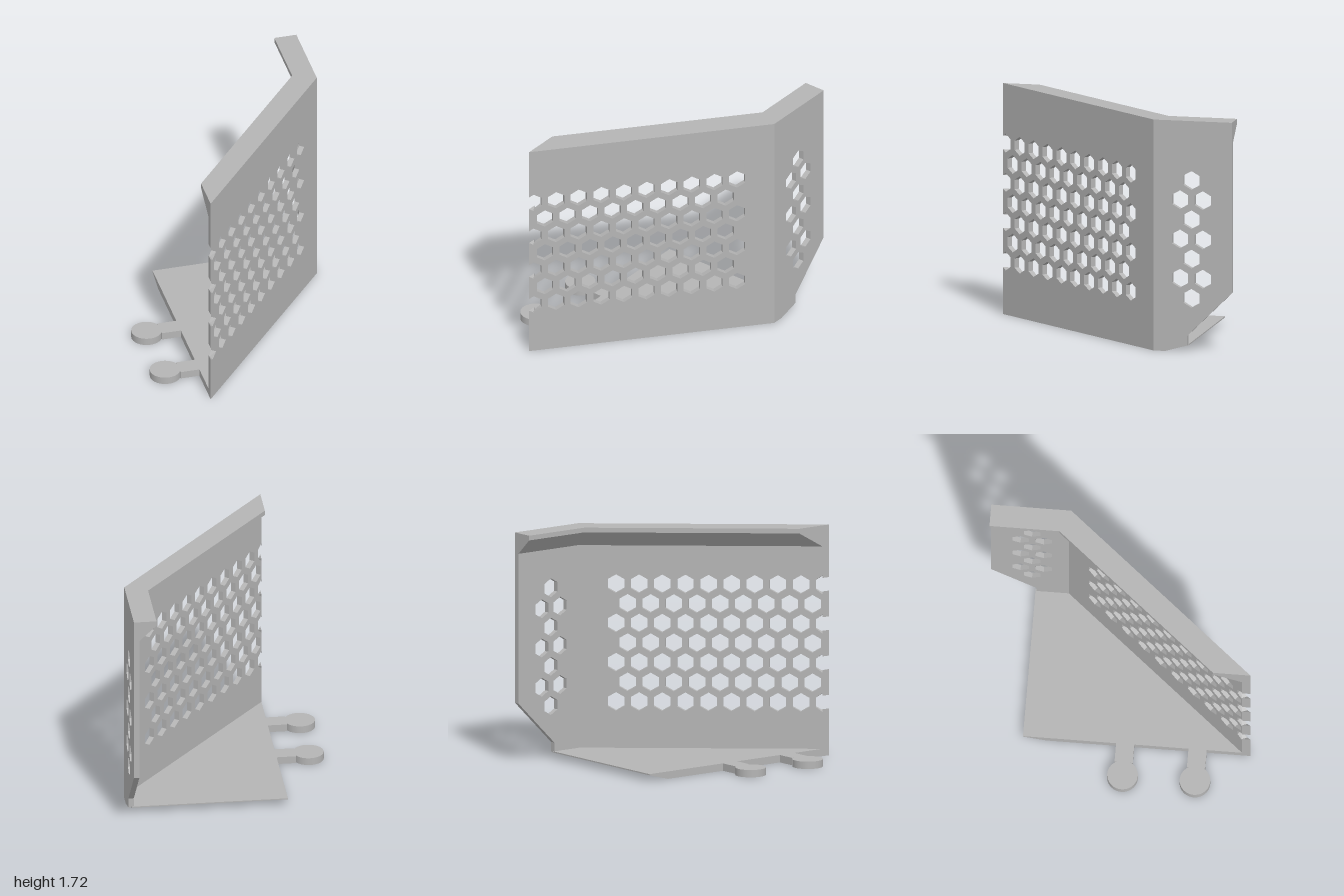
import * as THREE from 'three';

const H = 1.72, T = 0.04, FLOOR = 0.055, HEX = 0.07;
const A = new THREE.Vector3(-0.412, 0, 1);        // free end of the front wall
const C = new THREE.Vector3(0.764, 0, -0.412);    // corner between the two walls
const rowY = (i) => 0.4 + i * 0.1463;
const hexW = HEX * Math.cos(Math.PI / 6);

function polygon(points) {
  return new THREE.Shape(points.map(([x, y]) => new THREE.Vector2(x, y)));
}

// Pointy-top hexagonal hole
function hexHole(x, y) {
  const pts = [];
  for (let i = 0; i < 6; i++) {
    const a = Math.PI / 2 + i * Math.PI / 3;
    pts.push(new THREE.Vector2(x + HEX * Math.cos(a), y + HEX * Math.sin(a)));
  }
  return new THREE.Path(pts);
}

// Extrude a panel inward, trimming the inner face so that its ends are mitred
function panel(shape, depth, dir, origin, min = -Infinity, max = Infinity) {
  const geo = new THREE.ExtrudeGeometry(shape, { depth, bevelEnabled: false });
  const p = geo.attributes.position;
  for (let i = 0; i < p.count; i++) {
    if (p.getZ(i) > depth / 2) p.setX(i, Math.min(max, Math.max(min, p.getX(i))));
  }
  const up = new THREE.Vector3(0, 1, 0);
  const inward = dir.clone().cross(up);
  geo.applyMatrix4(new THREE.Matrix4().makeBasis(dir, up, inward).setPosition(origin));
  geo.computeVertexNormals();
  return geo;
}

function frontWall() {
  const len = A.distanceTo(C), dir = A.clone().sub(C).normalize();
  const first = 0.279, step = 0.1694, cut = first + 9 * step;
  const outline = [[0, 0], [len, 0]];
  // Half-open holes along the free edge
  for (let i = 0; i < 7; i += 2) {
    const y = rowY(i), e = HEX - (len - cut) * Math.tan(Math.PI / 6);
    outline.push([len, y - e], [cut, y - HEX], [cut - hexW, y - HEX / 2],
      [cut - hexW, y + HEX / 2], [cut, y + HEX], [len, y + e]);
  }
  outline.push([len, H], [0, H]);
  const shape = polygon(outline);
  for (let i = 0; i < 7; i++) {
    for (let k = 0; k < 9; k++) {
      shape.holes.push(hexHole(first + (k + (i % 2) / 2) * step, rowY(i)));
    }
  }
  return panel(shape, T, dir, C, 0.0144, len - T * 1.2);
}

function sideWall() {
  const shape = polygon([[C.z, 0], [C.z, H], [-1, H], [-1, 0.45], [-0.665, 0.12], [-0.665, 0.048], [-0.5, 0]]);
  for (let i = 0; i < 7; i++) {
    const zs = i % 2 ? [-0.611, -0.782] : [-0.697];
    zs.forEach((z) => shape.holes.push(hexHole(z, rowY(i))));
  }
  return panel(shape, T, new THREE.Vector3(0, 0, 1), new THREE.Vector3(C.x, 0, 0), -Infinity, -0.4265);
}

// Thick rim with a sloping underside, swept round the inside of both walls
function rim() {
  const profile = [[0.2, H], [1, H], [1, H - 0.035], [0.2, H - 0.16]];
  const stations = [[A.x, A.z, 0, -0.276], [C.x, C.z, -0.167, -0.074], [C.x, -1, -0.167, 0]];
  const rings = stations.map(([x, z, dx, dz]) => profile.map(([s, y]) => [x + dx * s, y, z + dz * s]));
  const pos = [];
  const quad = (a, b, c, d) => pos.push(...a, ...b, ...c, ...a, ...c, ...d);
  for (let r = 0; r < 2; r++) {
    for (let i = 0; i < 4; i++) {
      const j = (i + 1) % 4;
      quad(rings[r][i], rings[r + 1][i], rings[r + 1][j], rings[r][j]);
    }
  }
  quad(...rings[0]);
  quad(...rings[2].slice().reverse());
  const geo = new THREE.BufferGeometry();
  geo.setAttribute('position', new THREE.Float32BufferAttribute(pos, 3));
  geo.computeVertexNormals();
  return geo;
}

export function createModel() {
  const model = new THREE.Group();
  const grey = new THREE.MeshStandardMaterial({ color: 0xb4b4b4 });
  grey.name = 'plain grey';
  const add = (name, geo, parent = model) => {
    const mesh = new THREE.Mesh(geo, grey);
    mesh.name = name;
    parent.add(mesh);
    return mesh;
  };

  add('frontWall', frontWall());
  add('sideWall', sideWall());
  add('topRim', rim());

  // Floor slab, with a back edge that thins from below
  const slab = polygon([[A.x, 0.5], [0.74, 0.5], [0.74, 0.42], [A.x, -0.965]]);
  add('floor', new THREE.ExtrudeGeometry(slab, { depth: FLOOR, bevelEnabled: false }).rotateX(-Math.PI / 2));
  const wedge = polygon([[-0.5, 0], [-0.5, FLOOR], [-0.672, FLOOR], [-0.672, 0.046]]);
  add('floorBackEdge', panel(wedge, 0.74 - A.x, new THREE.Vector3(0, 0, 1), new THREE.Vector3(0.74, 0, 0)));

  // Two round connector tabs
  [0.079, 0.611].forEach((z, i) => {
    const tab = new THREE.Group();
    tab.name = i ? 'frontTab' : 'backTab';
    tab.position.set(0, FLOOR / 2, z);
    add('tabStem', new THREE.BoxGeometry(0.145, FLOOR, 0.134), tab).position.x = -0.4825;
    add('tabDisc', new THREE.CylinderGeometry(0.1125, 0.1125, FLOOR, 48), tab).position.x = -0.6545;
    model.add(tab);
  });
  return model;
}
